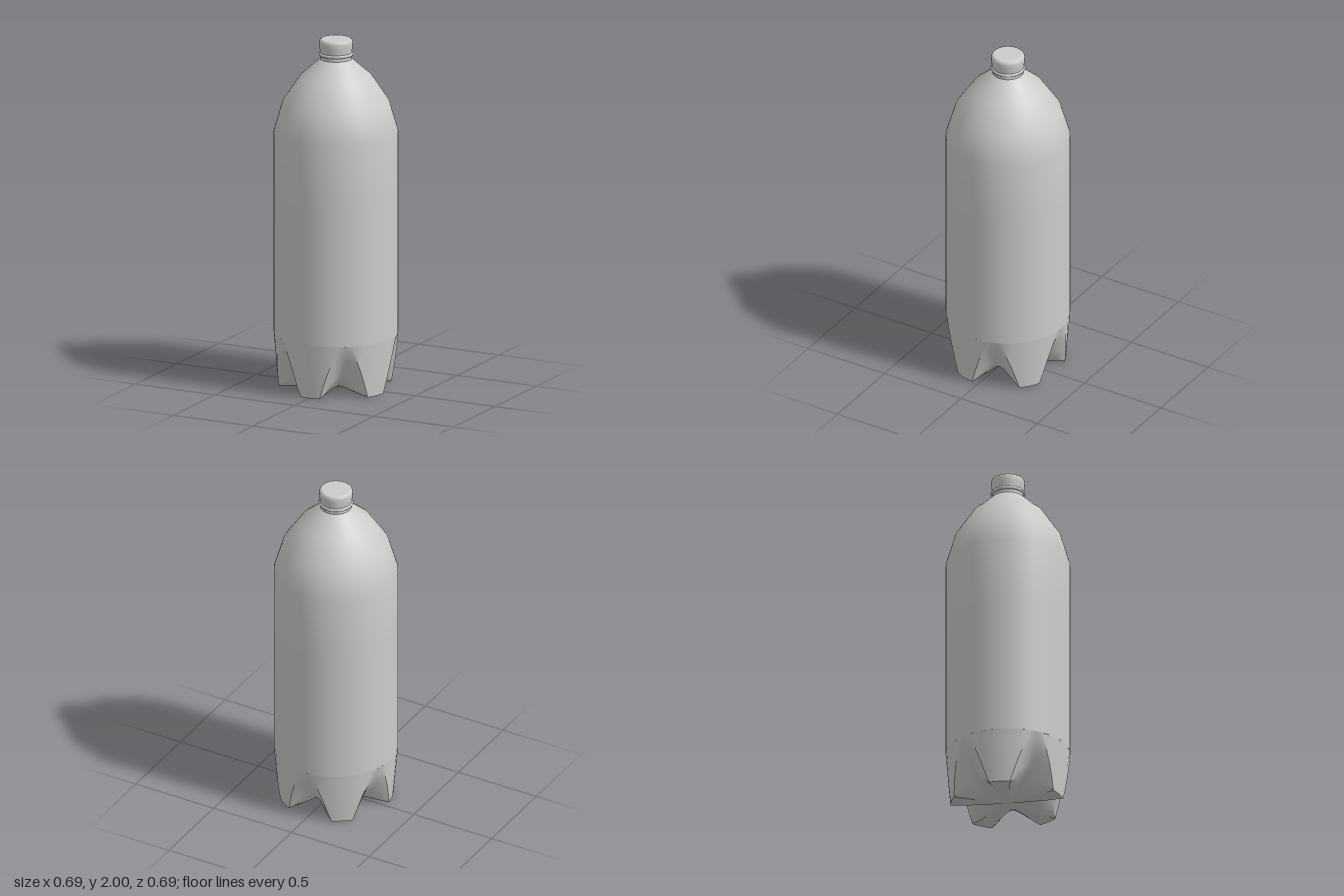
import * as THREE from 'three';
import { toCreasedNormals } from 'three/addons/utils/BufferGeometryUtils.js';

const material = new THREE.MeshStandardMaterial({ color: 0xcccccc, side: THREE.DoubleSide });
const FEET = 5;

function add(group, name, geometry) {
  const mesh = new THREE.Mesh(geometry, material);
  mesh.name = name;
  group.add(mesh);
}

function lathe(points) {
  return new THREE.LatheGeometry(points.map(([r, y]) => new THREE.Vector2(r, y)), 80);
}

// Base: each row blends a foot section into the groove section between two feet.
// Row: foot radius, foot y, groove radius, groove y, half angle of the foot.
const baseRows = [
  [0.347, 0.31, 0.347, 0.31, 0.5],
  [0.343, 0.26, 0.333, 0.262, 0.46],
  [0.339, 0.21, 0.312, 0.215, 0.41],
  [0.333, 0.14, 0.285, 0.165, 0.33],
  [0.327, 0.07, 0.26, 0.125, 0.26],
  [0.32, 0, 0.23, 0.085, 0.19],
  [0.23, 0, 0.17, 0.045, 0.19],
  [0.12, 0.004, 0.1, 0.02, 0.19],
  [0, 0.01, 0, 0.01, 0.19],
];

function baseGeometry() {
  const half = Math.PI / FEET;
  const footSteps = 3, grooveSteps = 6, steps = footSteps + grooveSteps;
  const columns = FEET * 2 * steps;
  const positions = [], index = [];
  for (const [fr, fy, gr, gy, footHalf] of baseRows) {
    for (let j = 0; j <= columns; j++) {
      const foot = Math.round(j / (2 * steps));
      const k = j - foot * 2 * steps;
      const n = Math.abs(k);
      const s = Math.max(0, (n - footSteps) / grooveSteps);
      const offset = n <= footSteps ? footHalf * n / footSteps : footHalf + (half - footHalf) * s;
      const angle = foot * 2 * half + Math.sign(k) * offset;
      const w = Math.sin(s * Math.PI / 2);
      const r = fr + (gr - fr) * w;
      positions.push(r * Math.sin(angle), fy + (gy - fy) * w, r * Math.cos(angle));
    }
  }
  const stride = columns + 1;
  for (let i = 0; i < baseRows.length - 1; i++) {
    for (let j = 0; j < columns; j++) {
      const a = i * stride + j, c = a + stride;
      index.push(a, c, a + 1);
      if (i < baseRows.length - 2) index.push(a + 1, c, c + 1);
    }
  }
  const geometry = new THREE.BufferGeometry();
  geometry.setAttribute('position', new THREE.Float32BufferAttribute(positions, 3));
  geometry.setIndex(index);
  return toCreasedNormals(geometry, 0.5);
}

export function createModel() {
  const bottle = new THREE.Group();
  bottle.name = 'bottle';

  add(bottle, 'footedBase', baseGeometry());

  // Straight wall and faceted shoulder
  add(bottle, 'body', lathe([
    [0.347, 0.31], [0.347, 0.7], [0.347, 1.1], [0.347, 1.47],
    [0.297, 1.64], [0.2, 1.785], [0.088, 1.885],
  ]));

  add(bottle, 'neck', lathe([[0.088, 1.88], [0.087, 1.92]]));

  // Collar ring under the cap
  add(bottle, 'neckRing', lathe([
    [0.086, 1.903], [0.094, 1.906], [0.097, 1.913], [0.094, 1.92], [0.086, 1.924],
  ]));

  // Screw cap with a rounded rim
  add(bottle, 'cap', lathe([
    [0.089, 1.918], [0.09, 1.935], [0.093, 1.955], [0.094, 1.98],
    [0.091, 1.992], [0.083, 1.999], [0.075, 2], [0, 2],
  ]));

  return bottle;
}
